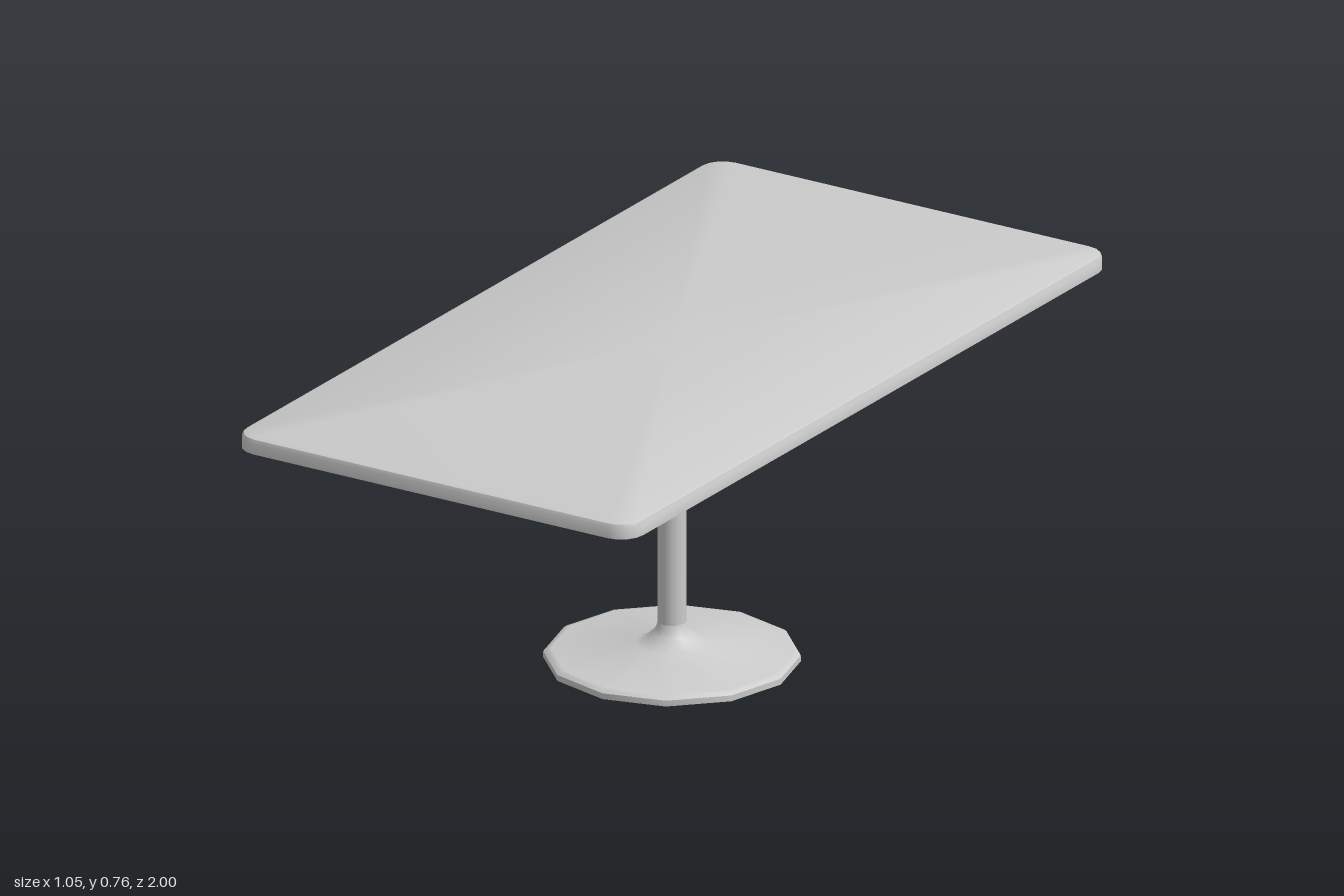
import * as THREE from 'three';
import { toCreasedNormals } from 'three/addons/utils/BufferGeometryUtils.js';

const CREASE = 0.7;
const SIDES = 12;

// Rounded rectangle outline, counter-clockwise seen from below
function outline(halfX, halfZ, radius, steps) {
  const points = [];
  const signs = [[1, 1], [-1, 1], [-1, -1], [1, -1]];
  signs.forEach(([sx, sz], corner) => {
    for (let i = 0; i <= steps; i++) {
      const a = (corner + i / steps) * Math.PI / 2;
      points.push([sx * (halfX - radius) + radius * Math.cos(a), sz * (halfZ - radius) + radius * Math.sin(a)]);
    }
  });
  return points;
}

// Slab with a sharp lower edge and a softened upper edge
function slabGeometry(halfX, halfZ, radius, sections) {
  const positions = [];
  const index = [];
  let n = 0;
  for (const [inset, y] of sections) {
    const ring = outline(halfX - inset, halfZ - inset, radius - inset, 4);
    n = ring.length;
    ring.forEach(([x, z]) => positions.push(x, y, z));
  }
  const last = sections.length - 1;
  const bottom = n * sections.length;
  const top = bottom + 1;
  positions.push(0, sections[0][1], 0, 0, sections[last][1], 0);
  for (let i = 0; i < n; i++) {
    const j = (i + 1) % n;
    for (let s = 0; s < last; s++) {
      const a = s * n + i, b = s * n + j;
      index.push(a, a + n, b, b, a + n, b + n);
    }
    index.push(bottom, i, j);
    index.push(top, last * n + j, last * n + i);
  }
  const geometry = new THREE.BufferGeometry();
  geometry.setAttribute('position', new THREE.Float32BufferAttribute(positions, 3));
  geometry.setIndex(index);
  return toCreasedNormals(geometry, CREASE);
}

export function createModel() {
  const group = new THREE.Group();
  const grey = new THREE.MeshStandardMaterial({ color: 0xcccccc });
  const greyShell = new THREE.MeshStandardMaterial({ color: 0xcccccc, side: THREE.DoubleSide });

  function add(name, geometry, y = 0, material = grey) {
    const mesh = new THREE.Mesh(geometry, material);
    mesh.name = name;
    mesh.position.y = y;
    group.add(mesh);
  }

  // Table top
  add('tableTop', slabGeometry(0.527, 1, 0.058, [
    [0, 0.725], [0, 0.75], [0.004, 0.759], [0.014, 0.763],
  ]));

  // Mounting plate just under the top
  add('mountingPlate', new THREE.CylinderGeometry(0.157, 0.157, 0.006, 24), 0.725);

  // Column from the flare up to the plate
  add('column', new THREE.CylinderGeometry(0.032, 0.032, 0.643, SIDES), 0.4015);

  // Hollow flared foot, open underneath
  const profile = [
    [0.288, 0], [0.288, 0.014], [0.283, 0.019], [0.27, 0.022], [0.082, 0.041],
    [0.062, 0.051], [0.045, 0.066], [0.035, 0.08], [0.032, 0.092],
  ].map(([r, y]) => new THREE.Vector2(r, y));
  add('base', toCreasedNormals(new THREE.LatheGeometry(profile, SIDES), CREASE), 0, greyShell);

  return group;
}
